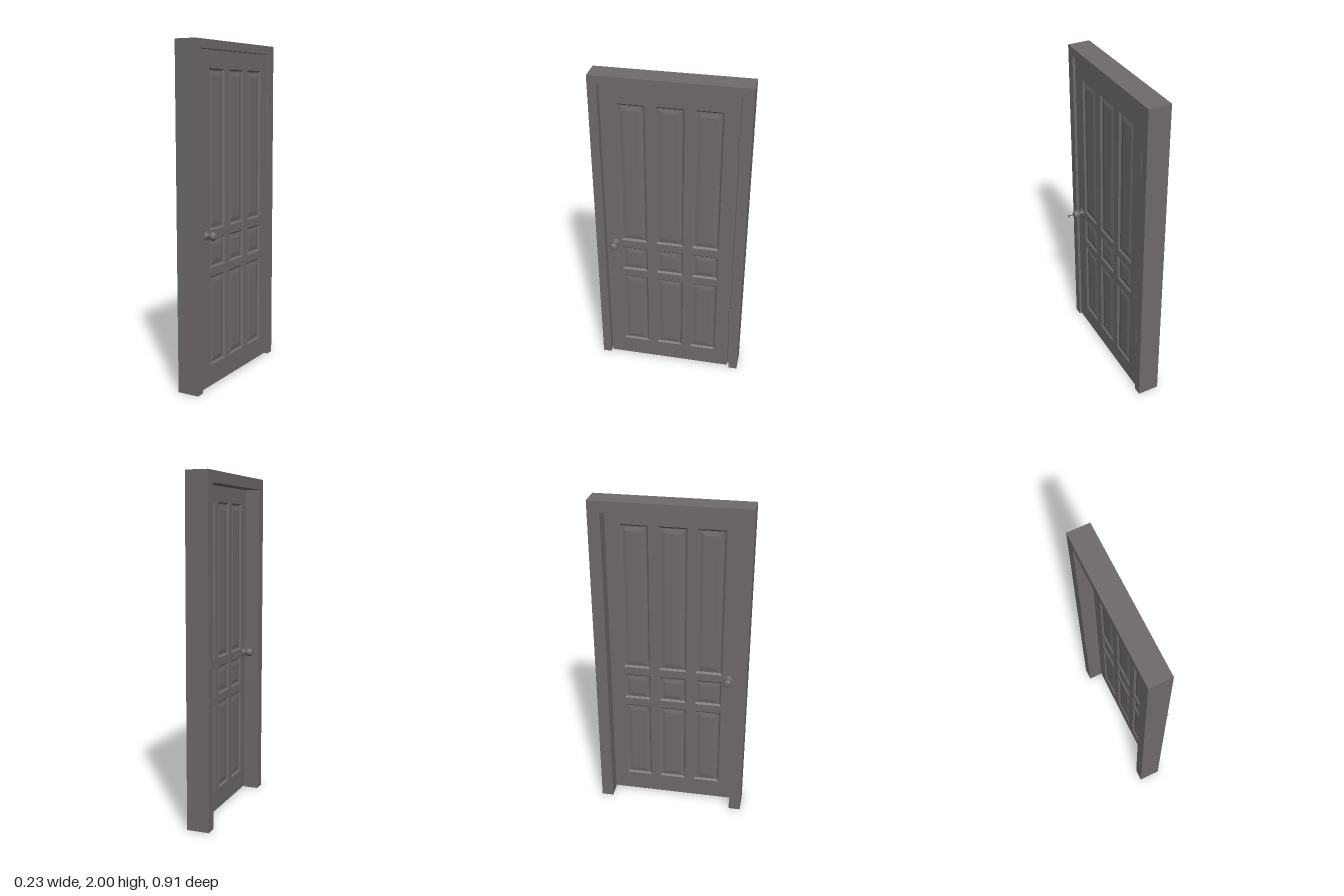
import * as THREE from 'three';

const BACK = -0.113, FRONT = 0.02;             // frame depth along x
const DOOR_BACK = -0.023, DOOR_FRONT = 0.01;   // door leaf depth along x
const DOOR_W = 0.389, DOOR_BOTTOM = 0.012, DOOR_TOP = 1.946;
const KNOB_Y = 0.911, KNOB_Z = 0.339;

const COLOR = 0x6f6a6b;
const smooth = new THREE.MeshStandardMaterial({ color: COLOR });
const flat = new THREE.MeshStandardMaterial({ color: COLOR, flatShading: true });

function add(parent, name, geometry, material = flat) {
  const mesh = new THREE.Mesh(geometry, material);
  mesh.name = name;
  parent.add(mesh);
  return mesh;
}

// Skin a row of closed cross-sections; capped closes four-cornered ends
function loft(sections, capped) {
  const n = sections[0].length, index = [];
  for (let s = 0; s < sections.length - 1; s++) {
    for (let k = 0; k < n; k++) {
      const a = s * n + k, b = s * n + (k + 1) % n;
      index.push(a, b, b + n, a, b + n, a + n);
    }
  }
  if (capped) {
    const e = (sections.length - 1) * n;
    index.push(0, 2, 1, 0, 3, 2, e, e + 1, e + 2, e, e + 2, e + 3);
  }
  const g = new THREE.BufferGeometry();
  g.setAttribute('position', new THREE.Float32BufferAttribute(sections.flat(2), 3));
  g.setIndex(index);
  const out = g.toNonIndexed();
  out.computeVertexNormals();
  return out;
}

// Rebated frame section carried up one jamb, across the head and down the other
function frameGeometry() {
  const section = [ // half width, height, x
    [0.455, 2, BACK], [0.455, 2, FRONT], [0.402, 1.95, FRONT],
    [0.402, 1.95, DOOR_BACK], [0.383, 1.935, DOOR_BACK], [0.383, 1.935, BACK],
  ];
  const stations = [[1, 0], [1, 1], [-1, 1], [-1, 0]]; // side, foot or head
  return loft(stations.map(([side, up]) => section.map(([w, h, x]) => [x, h * up, w * side])));
}

// Raised panel: rectangular rings from the back face to the front face
function panelGeometry(z0, z1, y0, y1) {
  const profile = [[0, 0], [0.01, 0.01], [0.016, 0.01], [0.04, 0.005]]; // inset, depth
  const rings = [
    ...profile.map(([i, d]) => [i, DOOR_BACK + d]).reverse(),
    ...profile.map(([i, d]) => [i, DOOR_FRONT - d]),
  ];
  return loft(rings.map(([i, x]) => [
    [x, y0 + i, z1 - i], [x, y0 + i, z0 + i], [x, y1 - i, z0 + i], [x, y1 - i, z1 - i],
  ]), true);
}

// Rectangle in (-z, y), ready to be turned and extruded along x
const rectangle = (a0, a1, b0, b1) => new THREE.Shape(
  [[a0, b0], [a1, b0], [a1, b1], [a0, b1]].map(([a, b]) => new THREE.Vector2(a, b)));

// Rosette, neck and ball turned around the x axis
function knobGeometry() {
  const pts = [[0, 0], [0.028, 0], [0.028, 0.003], [0.022, 0.008], [0.013, 0.009], [0.013, 0.023]];
  for (let i = 0; i <= 12; i++) {
    const a = THREE.MathUtils.lerp(-1.02, 0.95, i / 12);
    pts.push([0.0245 * Math.cos(a), 0.043 + 0.0245 * Math.sin(a)]);
  }
  pts.push([0, 0.063]);
  const g = new THREE.LatheGeometry(pts.map(([r, h]) => new THREE.Vector2(r, h)), 24);
  return g.rotateZ(-Math.PI / 2);
}

export function createModel() {
  const model = new THREE.Group();
  model.name = 'door';

  add(model, 'frame', frameGeometry());

  // Door leaf with nine raised panels
  const leaf = new THREE.Group();
  leaf.name = 'doorLeaf';
  const shape = rectangle(-DOOR_W, DOOR_W, DOOR_BOTTOM, DOOR_TOP);
  const columns = [[-0.3, -0.138], [-0.083, 0.083], [0.138, 0.3]];
  const rows = [[0.135, 0.665], [0.715, 0.885], [0.935, 1.845]];
  for (const [z0, z1] of columns) {
    for (const [y0, y1] of rows) {
      shape.holes.push(rectangle(-z1, -z0, y0, y1));
      add(leaf, 'raisedPanel', panelGeometry(z0, z1, y0, y1));
    }
  }
  const slab = new THREE.ExtrudeGeometry(shape, { depth: DOOR_FRONT - DOOR_BACK, bevelEnabled: false });
  add(leaf, 'stilesAndRails', slab.rotateY(Math.PI / 2).translate(DOOR_BACK, 0, 0));
  model.add(leaf);

  // Knobs on both sides
  const knob = knobGeometry();
  add(model, 'frontKnob', knob, smooth).position.set(DOOR_FRONT, KNOB_Y, KNOB_Z);
  const backKnob = add(model, 'backKnob', knob, smooth);
  backKnob.position.set(DOOR_BACK, KNOB_Y, KNOB_Z);
  backKnob.rotation.y = Math.PI;

  // Key in the front knob
  const key = new THREE.Group();
  key.name = 'key';
  add(key, 'keyShaft', new THREE.BoxGeometry(0.034, 0.005, 0.001)).position.x = 0.084;
  add(key, 'keyHead', new THREE.BoxGeometry(0.013, 0.019, 0.001)).position.x = 0.1065;
  key.position.set(0, KNOB_Y, KNOB_Z);
  model.add(key);

  // Hinge barrels
  for (const y of [0.428, 1.654]) {
    const hinge = add(model, 'hinge', new THREE.CylinderGeometry(0.006, 0.006, 0.12, 12), smooth);
    hinge.position.set(0.012, y, -0.388);
  }
  return model;
}
